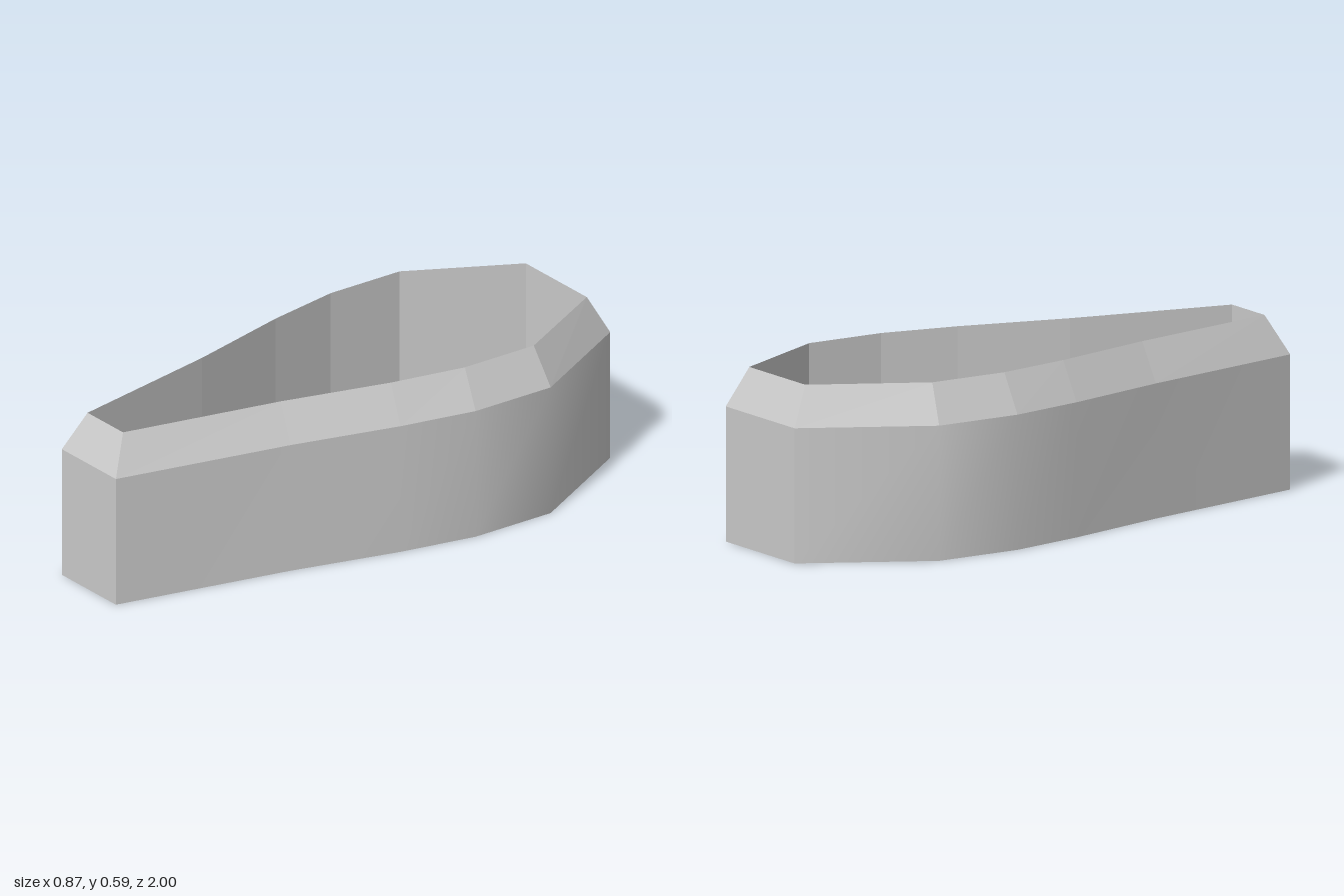
import * as THREE from 'three';
import { toCreasedNormals } from 'three/addons/utils/BufferGeometryUtils.js';

const WALL_TOP = 0.456, RIM = 0.588, FLOOR = 0.117;

// Half outlines [x, z] from foot (+z) to head (-z)
const outerHalf = [[0.148, 1], [0.281, 0.38], [0.381, 0], [0.435, -0.27], [0.435, -0.58], [0.205, -1]];
const innerHalf = [[0.097, 0.932], [0.215, 0.37], [0.316, -0.01], [0.367, -0.277], [0.367, -0.562], [0.167, -0.932]];

const mirrored = (half) => [...half, ...half.map(([x, z]) => [-x, z]).reverse()];

// Band of quads between two outlines of equal length
function band(from, y0, to, y1) {
  const positions = [];
  from.forEach((p, i) => {
    const j = (i + 1) % from.length;
    const a = [p[0], y0, p[1]], b = [from[j][0], y0, from[j][1]];
    const c = [to[j][0], y1, to[j][1]], d = [to[i][0], y1, to[i][1]];
    positions.push(...a, ...b, ...c, ...a, ...c, ...d);
  });
  const geometry = new THREE.BufferGeometry();
  geometry.setAttribute('position', new THREE.Float32BufferAttribute(positions, 3));
  geometry.computeVertexNormals();
  return geometry;
}

// Flat panel filling an outline; facing is 1 for up, -1 for down
function panel(outline, y, facing) {
  const shape = new THREE.Shape(outline.map(([x, z]) => new THREE.Vector2(x, -z * facing)));
  return new THREE.ShapeGeometry(shape).rotateX(-facing * Math.PI / 2).translate(0, y, 0);
}

export function createModel() {
  const group = new THREE.Group();
  const material = new THREE.MeshStandardMaterial({ color: 0xcccccc });
  const outer = mirrored(outerHalf), inner = mirrored(innerHalf);

  const add = (name, geometry) => {
    const mesh = new THREE.Mesh(geometry, material);
    mesh.name = name;
    group.add(mesh);
  };

  // Outer shell: soft along the sides, sharp at the foot and head corners
  add('outerWall', toCreasedNormals(band(outer, 0, outer, WALL_TOP), THREE.MathUtils.degToRad(35)));
  add('bevelledRim', band(outer, WALL_TOP, inner, RIM));
  add('underside', panel(outer, 0, -1));

  // Open cavity with upright sides and a raised floor
  add('innerWall', band(inner, RIM, inner, FLOOR));
  add('innerFloor', panel(inner, FLOOR, 1));

  return group;
}
